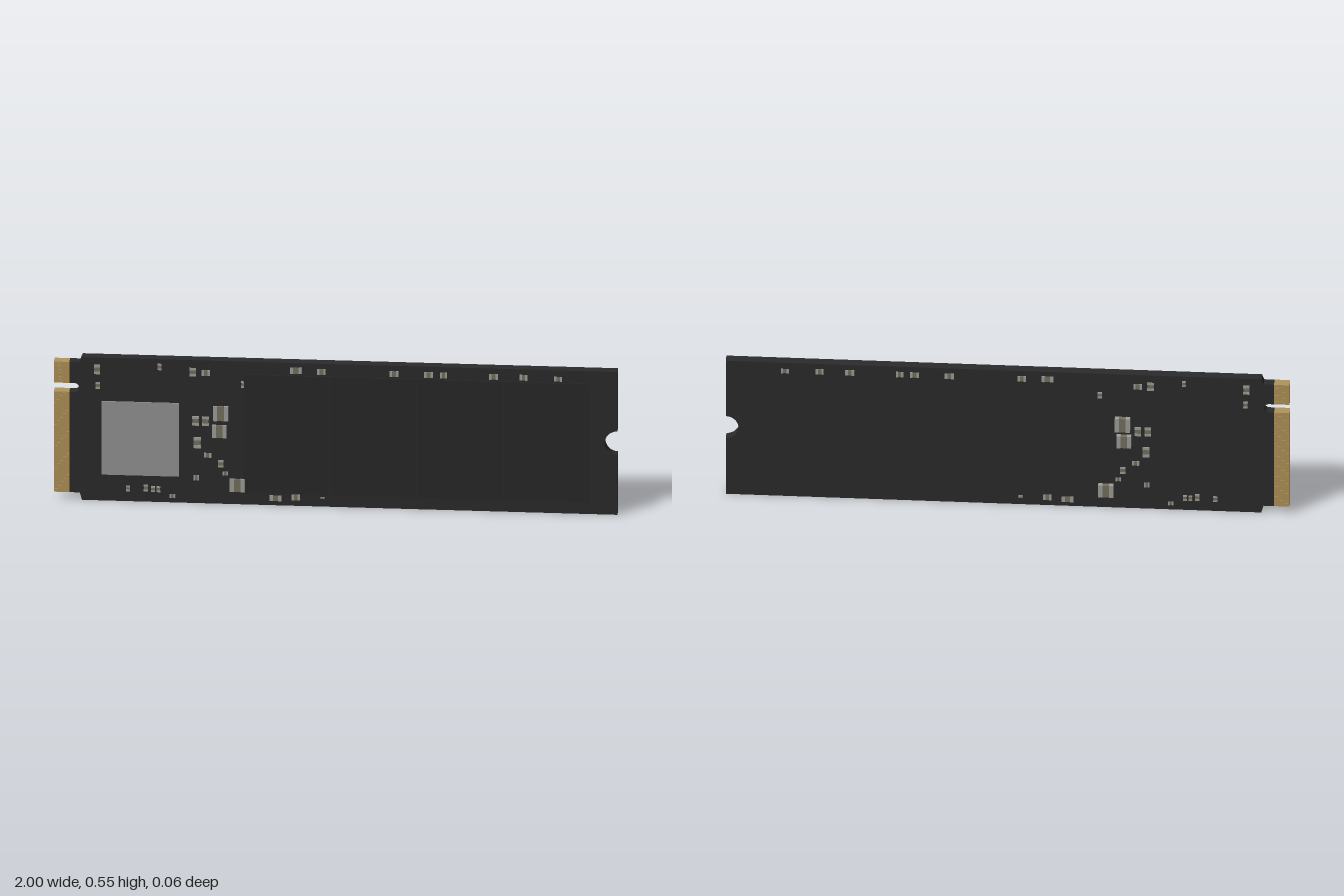
import * as THREE from 'three';

const mat = (name, color) => {
  const m = new THREE.MeshStandardMaterial({ color });
  m.name = name;
  return m;
};

export function createModel() {
  const root = new THREE.Group();
  root.name = 'storageCard';
  const boardBlack = mat('boardBlack', 0x2b2b2b);
  const chipBlack = mat('chipBlack', 0x292929);
  const gold = mat('contactGold', 0xb0945a);
  const silver = mat('shieldGrey', 0x959595);
  const tin = mat('terminalGrey', 0xa0a09c);
  const ceramic = mat('ceramicOlive', 0x757260);
  const BACK = -0.013, FRONT = 0.024;

  // Box given by its minimum and maximum corners
  const box = (parent, name, m, x0, x1, y0, y1, z0, z1) => {
    const mesh = new THREE.Mesh(new THREE.BoxGeometry(x1 - x0, y1 - y0, z1 - z0), m);
    mesh.position.set((x0 + x1) / 2, (y0 + y1) / 2, (z0 + z1) / 2);
    mesh.name = name;
    parent.add(mesh);
  };

  // Circuit board with stepped connector end, key slot and screw notch
  const s = new THREE.Shape();
  s.moveTo(-0.9, 0);
  s.lineTo(1, 0);
  s.lineTo(1, 0.228);
  s.absarc(1, 0.273, 0.045, -Math.PI / 2, Math.PI / 2, true);
  s.lineTo(1, 0.545);
  s.lineTo(-0.9, 0.545);
  s.lineTo(-0.908, 0.525);
  s.lineTo(-0.945, 0.525);
  s.lineTo(-0.945, 0.445);
  s.lineTo(-0.927, 0.445);
  s.absarc(-0.927, 0.428, 0.017, Math.PI / 2, -Math.PI / 2, true);
  s.lineTo(-0.945, 0.411);
  s.lineTo(-0.945, 0.028);
  s.lineTo(-0.908, 0.028);
  s.closePath();
  const board = new THREE.Mesh(
    new THREE.ExtrudeGeometry(s, { depth: FRONT - BACK, bevelEnabled: false, curveSegments: 16 }), boardBlack);
  board.position.z = BACK;
  board.name = 'circuitBoard';
  root.add(board);

  // Gold edge connector, both sides of the key slot, with slim raised fingers
  const connector = new THREE.Group();
  connector.name = 'edgeConnector';
  root.add(connector);
  for (const [y0, y1, count] of [[0.028, 0.411, 28], [0.445, 0.525, 6]]) {
    box(connector, 'contactBlock', gold, -1, -0.945, y0, y1, BACK, FRONT);
    const pitch = (y1 - y0) / count;
    for (let i = 0; i < count; i++) {
      const y = y0 + i * pitch;
      box(connector, 'contactFinger', gold, -0.999, -0.946, y + pitch * 0.15, y + pitch * 0.85,
        BACK - 0.0008, FRONT + 0.0008);
    }
  }

  // Controller and the row of four memory chips on the front
  box(root, 'controller', silver, -0.83, -0.555, 0.1, 0.38, FRONT - 0.002, 0.028);
  for (let i = 0; i < 4; i++) {
    const x = -0.325 + i * 0.308;
    box(root, 'memoryChip', chipBlack, x, x + 0.302, 0.046, 0.497, FRONT - 0.002, 0.028);
  }

  // Surface components repeated on both faces: x, y, width, height, front z, back z
  const parts = [
    [-0.847, 0.5, 0.022, 0.036], [-0.844, 0.439, 0.016, 0.026], [-0.625, 0.516, 0.014, 0.024],
    [-0.507, 0.5, 0.024, 0.032], [-0.461, 0.498, 0.03, 0.022], [-0.327, 0.458, 0.016, 0.024],
    [-0.141, 0.516, 0.042, 0.024], [-0.05, 0.514, 0.03, 0.022], [0.207, 0.514, 0.032, 0.022],
    [0.33, 0.514, 0.032, 0.022], [0.383, 0.514, 0.026, 0.022], [0.56, 0.514, 0.032, 0.022],
    [0.667, 0.514, 0.028, 0.022], [0.79, 0.512, 0.028, 0.018],
    [-0.497, 0.314, 0.024, 0.036], [-0.462, 0.314, 0.024, 0.036], [-0.491, 0.231, 0.026, 0.042],
    [-0.454, 0.184, 0.026, 0.018], [-0.408, 0.153, 0.02, 0.028], [-0.392, 0.116, 0.02, 0.015],
    [-0.494, 0.097, 0.02, 0.02], [-0.737, 0.049, 0.015, 0.022], [-0.673, 0.053, 0.016, 0.026],
    [-0.648, 0.049, 0.014, 0.022], [-0.629, 0.049, 0.014, 0.022], [-0.579, 0.025, 0.02, 0.015],
    [-0.213, 0.027, 0.042, 0.022], [-0.141, 0.032, 0.03, 0.022],
    [-0.046, 0.034, 0.014, 0.006, 0.029, -0.024],
    [-0.408, 0.345, 0.054, 0.056, 0.031, -0.031],
    [-0.413, 0.277, 0.052, 0.048, 0.031, -0.031],
    [-0.349, 0.073, 0.054, 0.049, 0.031, -0.031],
  ];
  const components = new THREE.Group();
  components.name = 'surfaceComponents';
  root.add(components);
  for (const [x, y, w, h, zf = 0.0265, zb = -0.0155] of parts) {
    const hw = w / 2, hh = h / 2, upright = h > w * 1.1;
    for (const [z0, z1] of [[FRONT - 0.002, zf], [zb, BACK + 0.002]]) {
      const inset = 0.0006;
      box(components, 'componentBody', ceramic, x - hw + inset, x + hw - inset,
        y - hh + inset, y + hh - inset, z0 + inset, z1 - inset);
      // Terminals cap both ends of the longer direction
      for (const e of [-1, 1]) {
        if (upright) {
          const c = y + e * h * 0.36;
          box(components, 'terminal', tin, x - hw, x + hw, c - h * 0.14, c + h * 0.14, z0, z1);
        } else {
          const c = x + e * w * 0.36;
          box(components, 'terminal', tin, c - w * 0.14, c + w * 0.14, y - hh, y + hh, z0, z1);
        }
      }
    }
  }
  return root;
}
